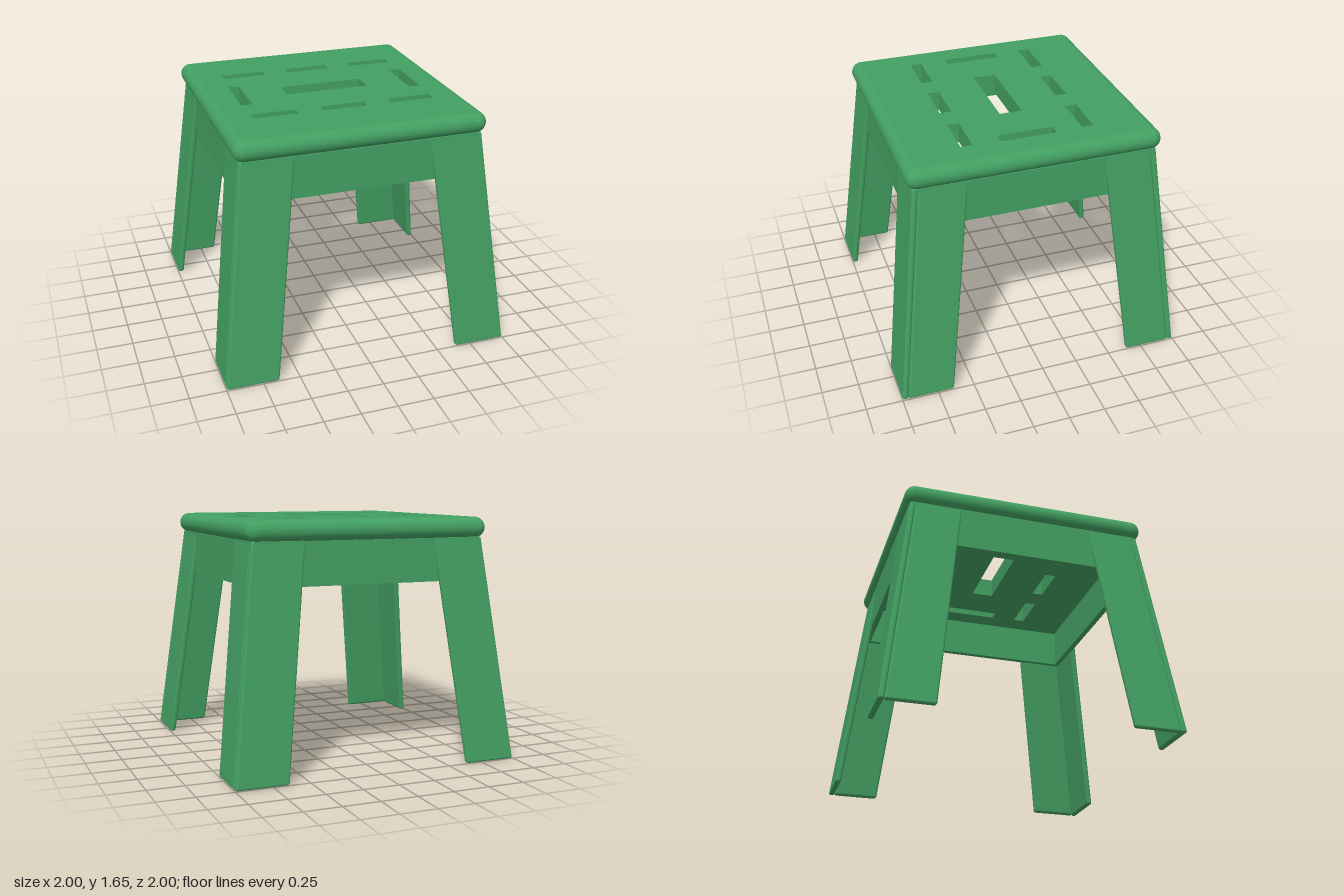
import * as THREE from 'three';
import { RoundedBoxGeometry } from 'three/addons/geometries/RoundedBoxGeometry.js';

const SEAT_BOTTOM = 1.515, SEAT_TOP = 1.655;
const R = (SEAT_TOP - SEAT_BOTTOM) / 2; // half-round seat edge
const CORE = 0.853 - R;                 // half width of the flat seat
const SPLAY = 0.119;                    // inward lean of the legs per unit of height

export function createModel() {
  const green = new THREE.MeshStandardMaterial({ color: 0x43a062 });
  green.name = 'green plastic';
  const stool = new THREE.Group();
  stool.name = 'stool';

  const add = (parent, name, geometry) => {
    const mesh = new THREE.Mesh(geometry, green);
    mesh.name = name;
    parent.add(mesh);
    return mesh;
  };

  // Seat panel with slots
  const rect = (Type, x, y, w, h) => new Type([
    [-1, -1], [1, -1], [1, 1], [-1, 1],
  ].map(([a, b]) => new THREE.Vector2(x + a * w / 2, y + b * h / 2)));
  const panel = rect(THREE.Shape, 0, 0, 2 * CORE, 2 * CORE);
  const slot = (...size) => panel.holes.push(rect(THREE.Path, ...size));
  slot(0, 0, 0.575, 0.155);
  for (const s of [-1, 1]) {
    slot(s * 0.602, 0, 0.078, 0.38);
    for (const x of [-0.475, 0, 0.475]) slot(x, s * 0.412, 0.305, 0.078);
  }
  const panelGeometry = new THREE.ExtrudeGeometry(panel, { depth: 2 * R, bevelEnabled: false });
  panelGeometry.rotateX(-Math.PI / 2);
  add(stool, 'seatPanel', panelGeometry).position.y = SEAT_BOTTOM;

  // Half-round rim and apron, one side per quarter turn
  const edge = new THREE.CylinderGeometry(R, R, 2 * CORE, 24, 1, true, -Math.PI / 2, Math.PI);
  edge.rotateZ(Math.PI / 2);
  const corner = new THREE.SphereGeometry(R, 10, 20, Math.PI / 2, Math.PI / 2);
  const apron = new THREE.BoxGeometry(1.6, 0.29, 0.04);
  for (let i = 0; i < 4; i++) {
    const side = new THREE.Group();
    side.name = 'seatSide';
    side.rotation.y = i * Math.PI / 2;
    stool.add(side);
    add(side, 'seatEdge', edge).position.set(0, SEAT_BOTTOM + R, CORE);
    add(side, 'seatCorner', corner).position.set(CORE, SEAT_BOTTOM + R, CORE);
    add(side, 'apron', apron).position.set(0, 1.375, 0.8);
  }

  // Splayed legs, each made of two boards meeting at the corner
  const board = (x, z, w, d, sx, sz) => {
    const h = SEAT_BOTTOM + 0.01;
    const geometry = new RoundedBoxGeometry(w, h, d, 3, 0.016);
    geometry.translate(sx * x, h / 2, sz * z);
    geometry.applyMatrix4(new THREE.Matrix4().set(
      1, -sx * SPLAY, 0, 0,
      0, 1, 0, 0,
      0, -sz * SPLAY, 1, 0,
      0, 0, 0, 1));
    return geometry;
  };
  for (const sx of [-1, 1]) for (const sz of [-1, 1]) {
    const leg = new THREE.Group();
    leg.name = (sz > 0 ? 'front' : 'back') + (sx > 0 ? 'Left' : 'Right') + 'Leg';
    stool.add(leg);
    add(leg, 'wideBoard', board(0.82, 0.98, 0.36, 0.04, sx, sz));
    add(leg, 'sideBoard', board(0.98, 0.8, 0.04, 0.32, sx, sz));
  }
  return stool;
}
